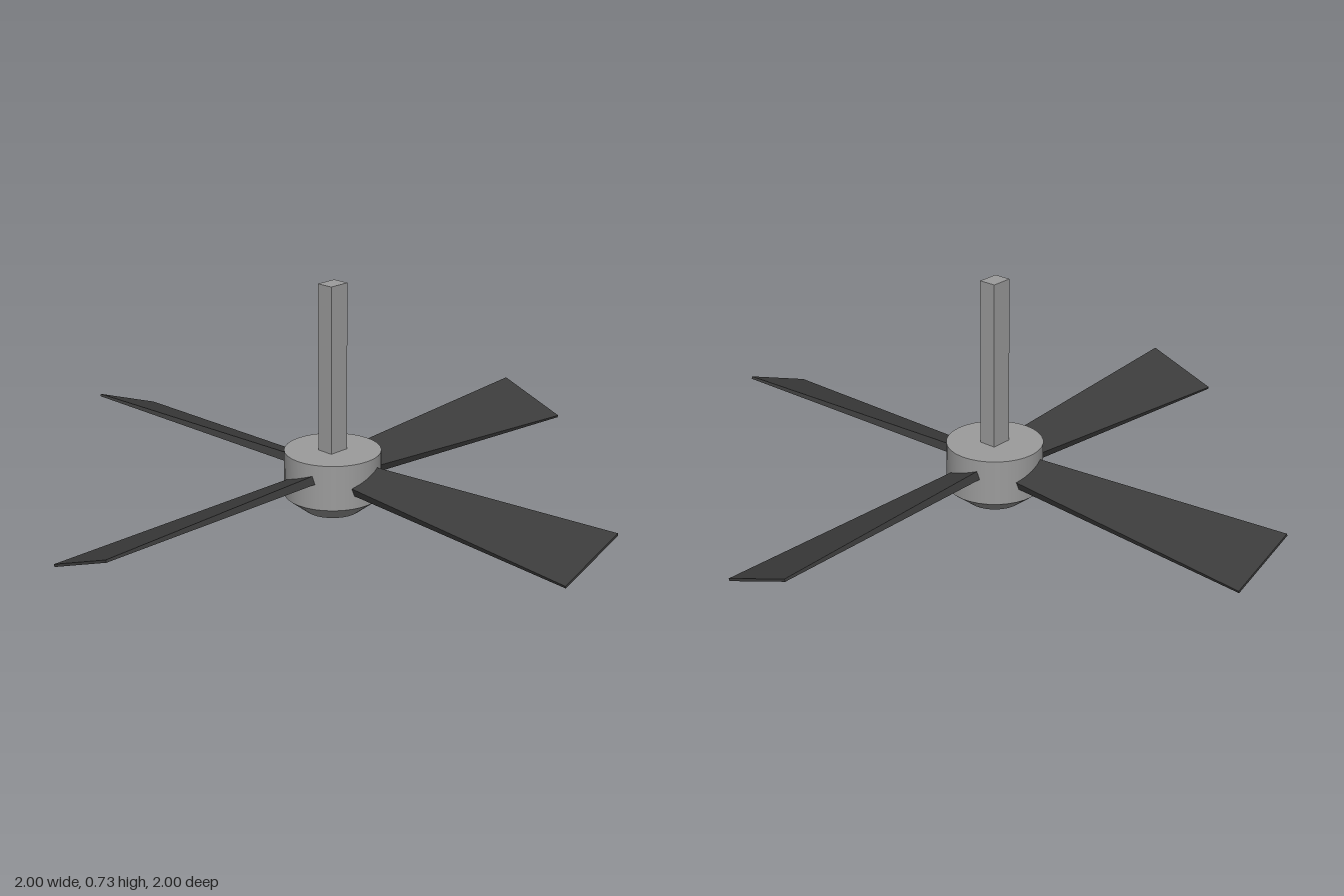
import * as THREE from 'three';

const HUB_RADIUS = 0.152;
const BLADE_HEIGHT = 0.125;
const BLADE_PITCH = THREE.MathUtils.degToRad(20);

// Blade pointing along +z: narrow and thick at the root, wide and thin at the tip
function bladeGeometry() {
  const inner = 0.1, outer = 1;
  const geometry = new THREE.BoxGeometry(1, 1, outer - inner);
  geometry.translate(0, 0, (inner + outer) / 2);
  const p = geometry.attributes.position;
  for (let i = 0; i < p.count; i++) {
    const tip = p.getZ(i) > 0.5;
    p.setX(i, p.getX(i) * (tip ? 0.25 : 0.112));
    p.setY(i, p.getY(i) * (tip ? 0.008 : 0.028));
  }
  geometry.rotateZ(BLADE_PITCH);
  geometry.computeVertexNormals();
  return geometry;
}

export function createModel() {
  const model = new THREE.Group();
  model.name = 'ceilingFan';

  const metal = new THREE.MeshStandardMaterial({ color: 0x9c9c9c });
  metal.name = 'grey metal';
  const dark = new THREE.MeshStandardMaterial({ color: 0x3c3c3c });
  dark.name = 'dark blade';

  const add = (name, geometry, material, y) => {
    const mesh = new THREE.Mesh(geometry, material);
    mesh.name = name;
    mesh.position.y = y;
    model.add(mesh);
    return mesh;
  };

  // Hanging rod
  add('downRod', new THREE.BoxGeometry(0.056, 0.535, 0.07), metal, 0.4625);

  // Motor drum and the tapered cap beneath it
  add('motorHousing', new THREE.CylinderGeometry(HUB_RADIUS, HUB_RADIUS, 0.145, 32), metal, 0.1225);
  add('bottomCap', new THREE.CylinderGeometry(HUB_RADIUS, 0.088, 0.05, 32), metal, 0.025);

  // Four pitched blades
  const blade = bladeGeometry();
  for (let i = 0; i < 4; i++) {
    add(`blade${i + 1}`, blade, dark, BLADE_HEIGHT).rotation.y = (i * Math.PI) / 2;
  }

  return model;
}
